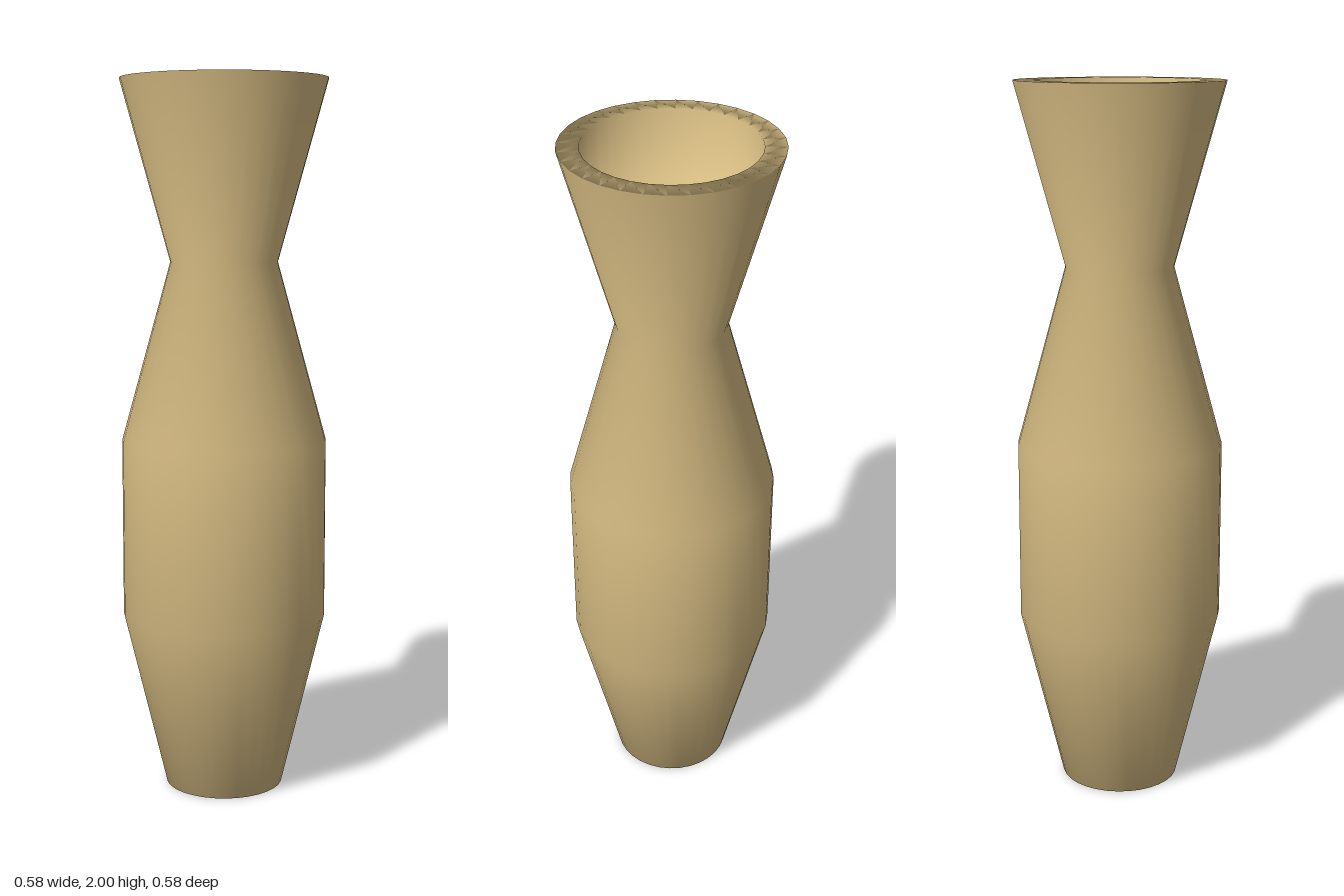
import * as THREE from 'three';

export function createModel() {
  const group = new THREE.Group();
  group.name = 'vase';

  // Closed profile: base, body, neck, flared lip, then the shallow well in the mouth
  const profile = [
    [0, 0], [0.167, 0], [0.288, 0.5], [0.288, 1], [0.15, 1.5],
    [0.288, 2], [0.23, 2], [0.23, 1.8], [0, 1.8],
  ].map(([r, y]) => new THREE.Vector2(r, y));

  // Smooth-shaded turned body with 32 sides
  const body = new THREE.Mesh(
    new THREE.LatheGeometry(profile, 32),
    new THREE.MeshStandardMaterial({ color: 0xd2b880 }),
  );
  body.name = 'vaseBody';
  group.add(body);

  return group;
}
